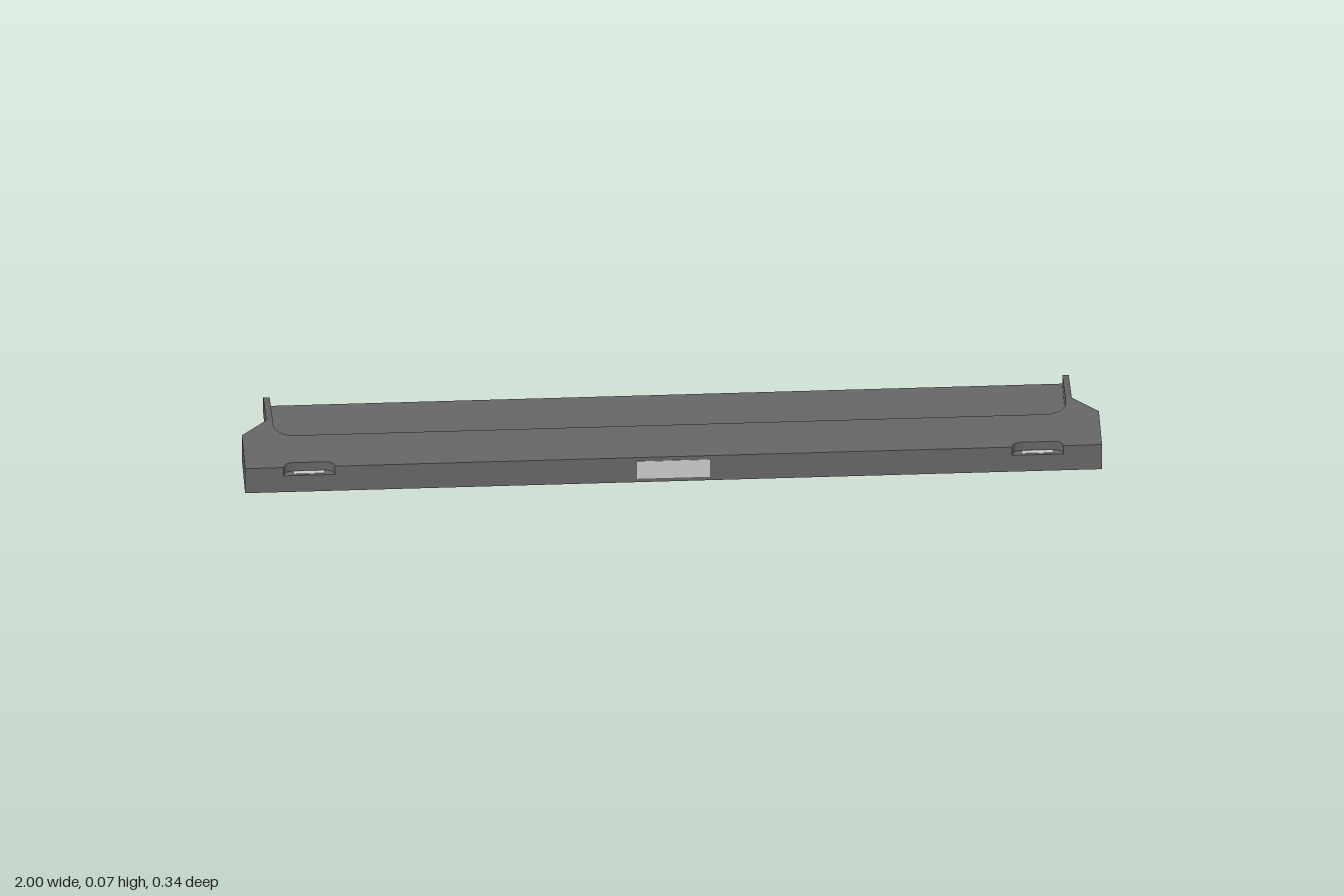
import * as THREE from 'three';
import { toCreasedNormals } from 'three/addons/utils/BufferGeometryUtils.js';

const FRONT = 0.172, BACK = -0.172, FLOOR = 0.018, NOTCH = 0.045, TOP = 0.068;
const bodyMat = new THREE.MeshStandardMaterial({ color: 0x666666 });
const lightMat = new THREE.MeshStandardMaterial({ color: 0xcccccc });

function add(group, name, geometry, material = bodyMat) {
  const mesh = new THREE.Mesh(geometry, material);
  mesh.name = name;
  group.add(mesh);
  return mesh;
}

// Plan outline drawn in (x, -z), raised from y0 to y1
function layer(shape, y0, y1) {
  const g = new THREE.ExtrudeGeometry(shape, { depth: y1 - y0, bevelEnabled: false, curveSegments: 10 });
  g.rotateX(-Math.PI / 2).translate(0, y0, 0);
  return toCreasedNormals(g, 0.6);
}

// Front edge from left to right, optionally with the two finger notches
function frontEdge(s, notched) {
  s.moveTo(-1, -FRONT);
  if (notched) {
    for (const c of [-0.85, 0.85]) {
      const z = 0.152;
      s.lineTo(c - 0.06, -FRONT);
      s.lineTo(c - 0.058, -0.164);
      s.quadraticCurveTo(c - 0.052, -z, c - 0.035, -z);
      s.lineTo(c + 0.035, -z);
      s.quadraticCurveTo(c + 0.052, -z, c + 0.058, -0.164);
      s.lineTo(c + 0.06, -FRONT);
    }
  }
  s.lineTo(1, -FRONT);
  s.lineTo(1, -0.028);
  s.lineTo(0.94, 0.033);
}

function baseOutline() {
  const s = new THREE.Shape();
  frontEdge(s, false);
  s.lineTo(0.94, -BACK);
  s.lineTo(-0.94, -BACK);
  s.lineTo(-0.94, 0.033);
  s.lineTo(-1, -0.028);
  return s;
}

// Raised bar whose back edge wraps the round-cornered tray
function barOutline(notched) {
  const s = new THREE.Shape();
  frontEdge(s, notched);
  s.lineTo(0.925, 0.033);
  s.lineTo(0.925, 0.015);
  s.absarc(0.875, 0.015, 0.05, 0, -Math.PI / 2, true);
  s.lineTo(-0.875, -0.035);
  s.absarc(-0.875, 0.015, 0.05, -Math.PI / 2, -Math.PI, true);
  s.lineTo(-0.925, 0.033);
  s.lineTo(-0.94, 0.033);
  s.lineTo(-1, -0.028);
  return s;
}

export function createModel() {
  const model = new THREE.Group();
  model.name = 'tray';

  add(model, 'trayFloor', layer(baseOutline(), 0, FLOOR));
  add(model, 'frontBarLower', layer(barOutline(false), FLOOR, NOTCH));
  add(model, 'frontBarUpper', layer(barOutline(true), NOTCH, TOP));

  // Sloping side walls of the tray
  const wall = new THREE.Shape();
  wall.moveTo(0.033, FLOOR);
  wall.lineTo(-BACK, FLOOR);
  wall.lineTo(-BACK, 0.042);
  wall.lineTo(0.033, TOP);
  for (const [name, x] of [['leftWall', 0.925], ['rightWall', -0.94]]) {
    const g = new THREE.ExtrudeGeometry(wall, { depth: 0.015, bevelEnabled: false });
    g.rotateY(Math.PI / 2).translate(x, 0, 0);
    add(model, name, g);
  }

  // Light pads on the notch floors
  for (const [name, x] of [['leftNotchPad', 0.85], ['rightNotchPad', -0.85]]) {
    add(model, name, new THREE.BoxGeometry(0.07, 0.002, 0.012), lightMat).position.set(x, NOTCH, 0.16);
  }

  // Light plate in the middle of the front face
  add(model, 'frontPlate', new THREE.BoxGeometry(0.17, 0.048, 0.004), lightMat)
    .position.set(0, 0.034, FRONT - 0.001);

  return model;
}
